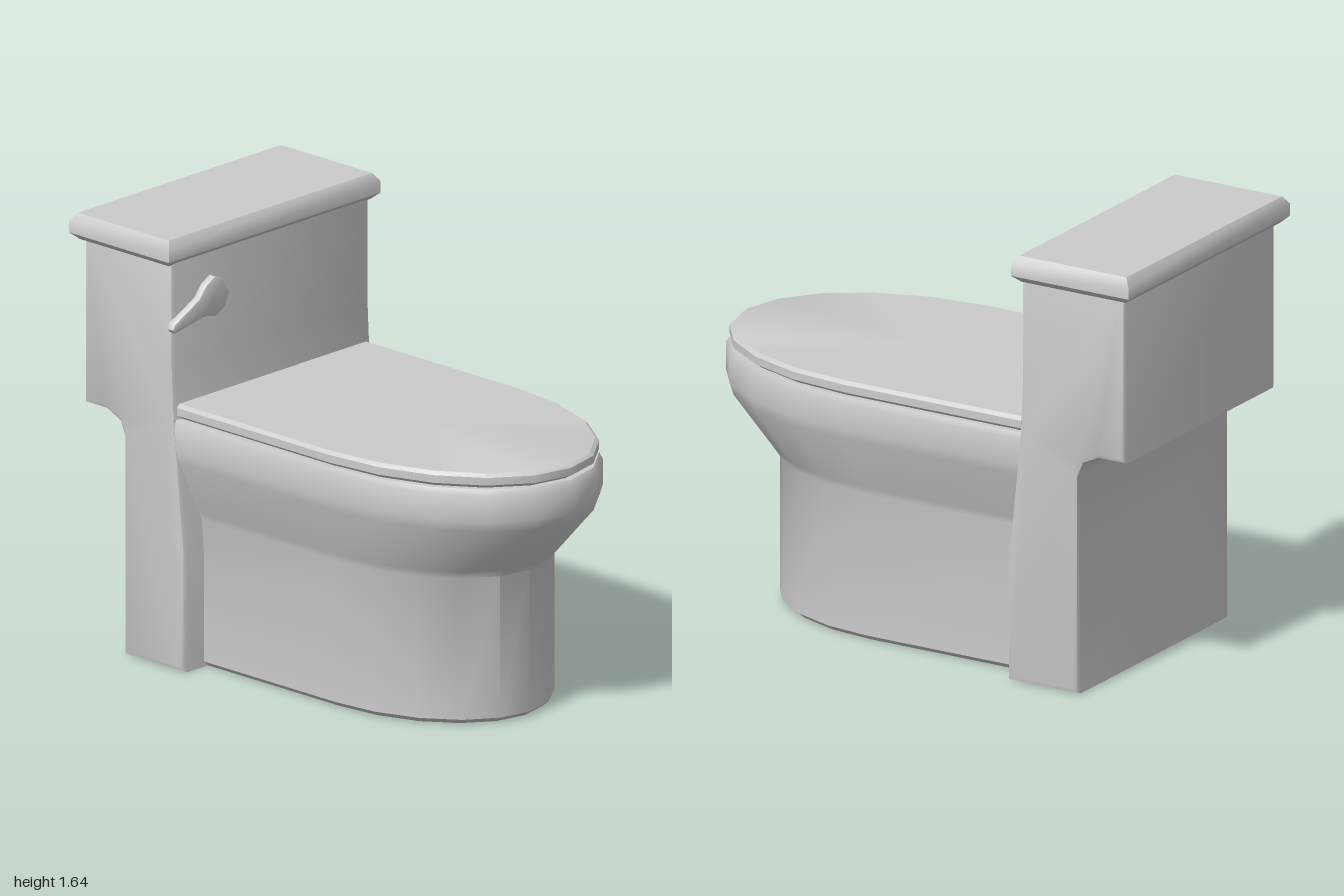
import * as THREE from 'three';
import { toCreasedNormals } from 'three/addons/utils/BufferGeometryUtils.js';

const material = new THREE.MeshStandardMaterial({ color: 0xcccccc });

function addPart(group, name, geometry, crease = 0.75) {
  const mesh = new THREE.Mesh(toCreasedNormals(geometry, crease), material);
  mesh.name = name;
  group.add(mesh);
}

// Horizontal outline: straight sides with a half-elliptical front
function bowlRing(halfWidth, front, centre, back) {
  const ring = [[halfWidth, back]];
  for (let i = 0; i <= 10; i++) {
    const t = (i / 10) * Math.PI;
    ring.push([halfWidth * Math.cos(t), centre + (front - centre) * Math.sin(t)]);
  }
  ring.push([-halfWidth, back]);
  return ring;
}

const rectRing = (w, front, back) => [[w, back], [w, front], [-w, front], [-w, back]];

// Skin a stack of [y, ring] levels and close both ends
function loft(levels) {
  const positions = [], index = [];
  const n = levels[0][1].length;
  for (const [y, ring] of levels) for (const [x, z] of ring) positions.push(x, y, z);
  const bottom = levels.length * n, top = bottom + 1, last = (levels.length - 1) * n;
  for (const [y, ring] of [levels[0], levels[levels.length - 1]]) {
    positions.push(0, y, (ring[0][1] + ring[n >> 1][1]) / 2);
  }
  for (let i = 0; i < n; i++) {
    const j = (i + 1) % n;
    for (let k = 0; k < last; k += n) {
      index.push(k + i, k + n + i, k + j, k + j, k + n + i, k + n + j);
    }
    index.push(bottom, i, j, top, last + j, last + i);
  }
  const geometry = new THREE.BufferGeometry();
  geometry.setAttribute('position', new THREE.Float32BufferAttribute(positions, 3));
  geometry.setIndex(index);
  geometry.computeVertexNormals();
  return geometry;
}

// Extrusion with softened edges that keeps the drawn outline size
function softExtrude(points, depth, bevel) {
  const shape = new THREE.Shape(points.map(([x, y]) => new THREE.Vector2(x, y)));
  const geometry = new THREE.ExtrudeGeometry(shape, {
    depth: depth - 2 * bevel, bevelThickness: bevel, bevelSize: bevel,
    bevelOffset: -bevel, bevelSegments: 2,
  });
  return geometry.translate(0, 0, bevel - depth / 2);
}

export function createModel() {
  const model = new THREE.Group();
  model.name = 'toilet';

  // Pedestal flaring out into the bowl rim: y, half width, front, curve centre
  const bowl = [
    [0, 0.39, 0.755, 0.2], [0.02, 0.412, 0.78, 0.2], [0.56, 0.412, 0.78, 0.2],
    [0.59, 0.422, 0.805, 0.21], [0.79, 0.502, 0.985, 0.25], [0.83, 0.51, 1, 0.25],
    [0.93, 0.51, 1, 0.25], [0.952, 0.5, 0.985, 0.25],
  ].map(([y, w, front, centre]) => [y, bowlRing(w, front, centre, -0.6)]);
  addPart(model, 'bowl', loft(bowl));

  // Closed seat cover with a thin shadow gap below
  const cover = [
    [0.95, 0.475, 0.955], [0.96, 0.485, 0.97], [0.968, 0.5, 0.985],
    [0.997, 0.5, 0.985], [1.01, 0.487, 0.97],
  ].map(([y, w, front]) => [y, bowlRing(w, front, 0.25, -0.51)]);
  addPart(model, 'seatCover', loft(cover));

  // Rear column and tank share one side profile (z, y)
  const tank = softExtrude([
    [-0.46, 0], [-0.46, 0.45], [-0.51, 0.95], [-0.52, 1.15], [-0.52, 1.56],
    [-0.96, 1.56], [-0.96, 0.915], [-0.85, 0.915], [-0.785, 0.885],
    [-0.762, 0.83], [-0.762, 0],
  ], 1.034, 0.02);
  addPart(model, 'tank', tank.rotateY(-Math.PI / 2));

  // Tank lid with chamfered edges
  const lid = [
    [1.54, 0.525], [1.565, 0.552], [1.61, 0.552], [1.64, 0.53],
  ].map(([y, w]) => [y, rectRing(w, -0.5 + w - 0.552, -1 - w + 0.552)]);
  addPart(model, 'tankLid', loft(lid));

  // Flush lever: round hub tapering to a thin grip
  const lever = softExtrude([
    [-0.538, 1.305], [-0.525, 1.29], [-0.37, 1.318], [-0.315, 1.305],
    [-0.265, 1.33], [-0.244, 1.385], [-0.275, 1.44], [-0.32, 1.46],
    [-0.365, 1.435], [-0.4, 1.392], [-0.53, 1.325],
  ], 0.036, 0.008);
  addPart(model, 'flushLever', lever.translate(0, 0, -0.509));

  return model;
}
